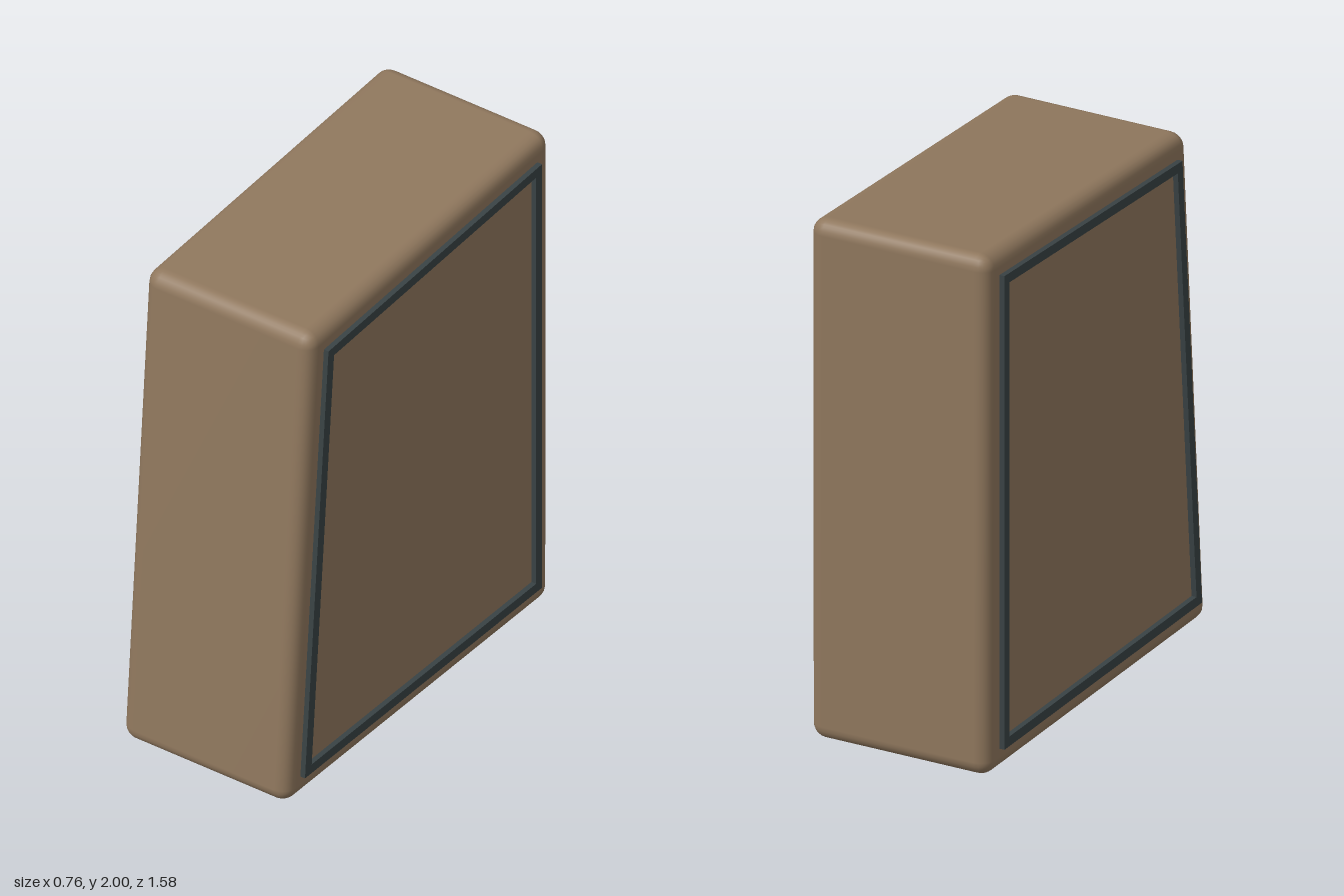
import * as THREE from 'three';
import { RoundedBoxGeometry } from 'three/addons/geometries/RoundedBoxGeometry.js';
import { mergeVertices } from 'three/addons/utils/BufferGeometryUtils.js';

const brown = new THREE.MeshStandardMaterial({ color: 0x8f775d });
brown.name = 'brown';
const charcoal = new THREE.MeshStandardMaterial({ color: 0x394244 });
charcoal.name = 'charcoal';

// Rounded box whose front leans back and whose top falls towards the front
function cabinetGeometry() {
  let geometry = new RoundedBoxGeometry(0.72, 2, 1.58, 3, 0.057);
  geometry.deleteAttribute('normal');
  geometry.deleteAttribute('uv');
  geometry.clearGroups();
  const p = geometry.attributes.position;
  for (let i = 0; i < p.count; i++) {
    const u = (p.getZ(i) + 0.79) / 1.58; // back to front
    const v = (p.getY(i) + 1) / 2; // bottom to top
    p.setY(i, v * (2.002 - 0.075 * u));
    p.setZ(i, -0.79 + u * (1.58 - 0.147 * v));
  }
  geometry = mergeVertices(geometry, 1e-4);
  geometry.computeVertexNormals();
  return geometry;
}

// Four-sided trim outline, corners given as [z, y]
const outline = (corners) => corners.map(([z, y]) => new THREE.Vector2(-z, y));

function trimGeometry() {
  const shape = new THREE.Shape(outline([[-0.705, 0.09], [-0.705, 1.912], [0.565, 1.845], [0.705, 0.09]]));
  shape.holes.push(new THREE.Path(outline([[-0.67, 0.127], [-0.67, 1.874], [0.532, 1.81], [0.665, 0.127]])));
  const geometry = new THREE.ExtrudeGeometry(shape, { depth: 0.04, bevelEnabled: false });
  geometry.rotateY(Math.PI / 2);
  return geometry;
}

export function createModel() {
  const model = new THREE.Group();
  model.name = 'cabinet';

  const body = new THREE.Mesh(cabinetGeometry(), brown);
  body.name = 'cabinetBody';
  model.add(body);

  // Raised trim frame on each side
  const trim = trimGeometry();
  for (const [name, x] of [['leftTrim', 0.34], ['rightTrim', -0.38]]) {
    const mesh = new THREE.Mesh(trim, charcoal);
    mesh.name = name;
    mesh.position.x = x;
    model.add(mesh);
  }
  return model;
}
